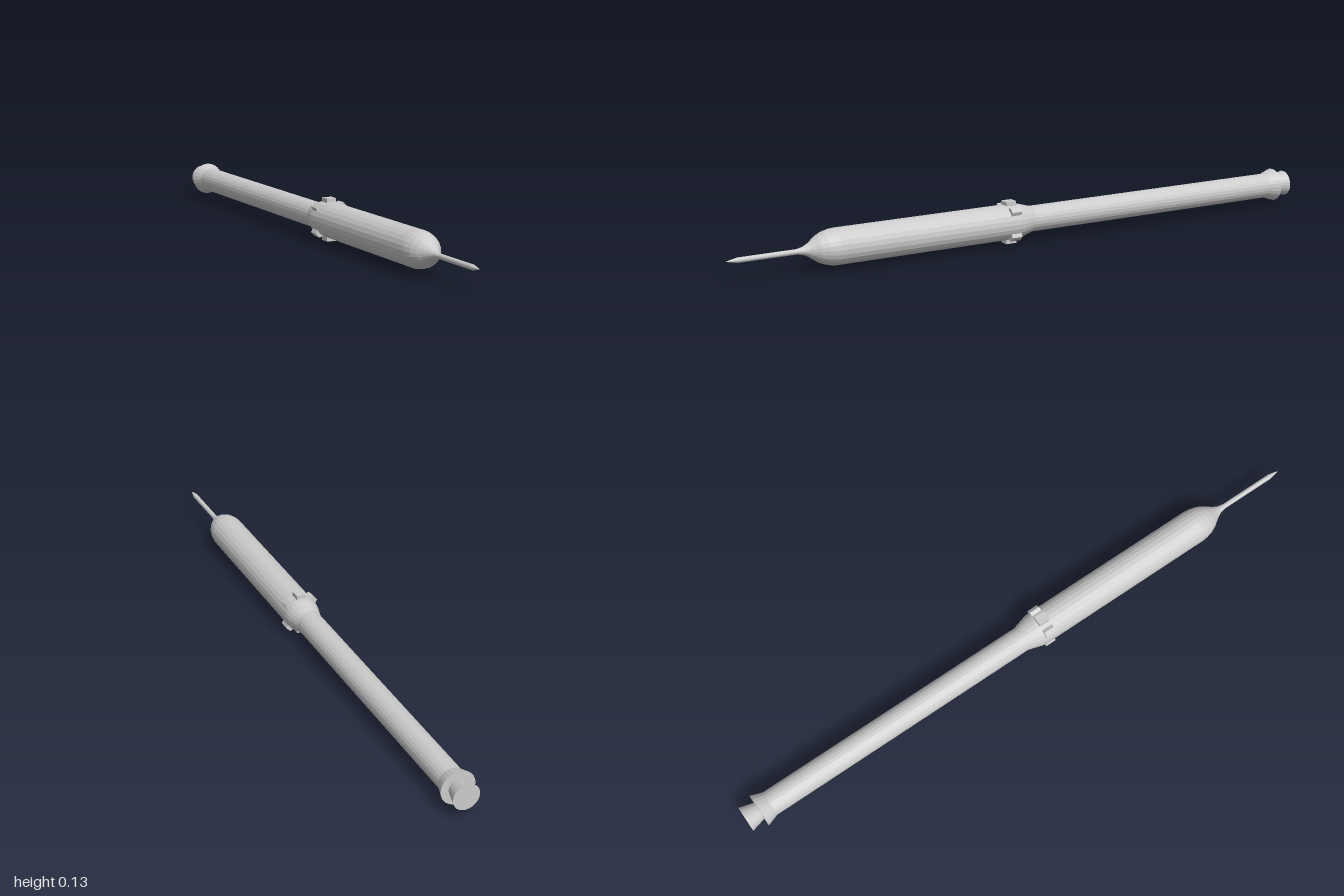
import * as THREE from 'three';

const AXIS_Y = 0.066;
const SIDES = 24;

export function createModel() {
  const model = new THREE.Group();
  const material = new THREE.MeshStandardMaterial({ color: 0xcccccc, flatShading: true });

  const add = (name, geometry) => {
    const mesh = new THREE.Mesh(geometry, material);
    mesh.name = name;
    mesh.position.y = AXIS_Y;
    model.add(mesh);
    return mesh;
  };

  // Turned part along z; profile is [radius, z] from back to front
  const turned = (name, profile) => {
    const points = profile.map(([r, z]) => new THREE.Vector2(r, z));
    return add(name, new THREE.LatheGeometry(points, SIDES).rotateX(Math.PI / 2));
  };

  // Rear nozzle with a flat closed end
  turned('nozzle', [[0, -1], [0.041, -1], [0.028, -0.95]]);

  // Slim rear tube with its flared skirt
  turned('rearTube', [[0, -0.953], [0.053, -0.953], [0.04, -0.915], [0.04, 0]]);

  // Thick forward body: tapered shoulder, barrel and rounded nose
  turned('forwardBody', [
    [0.04, 0], [0.053, 0.045], [0.055, 0.06], [0.055, 0.665], [0.053, 0.682], [0.048, 0.702],
    [0.039, 0.721], [0.029, 0.735], [0.019, 0.75], [0.012, 0.765], [0.008, 0.785],
  ]);

  // Nose spike
  turned('noseSpike', [[0.008, 0.785], [0.008, 0.965], [0.003, 0.99], [0, 1]]);

  // Six lugs round the body: square ones above and below, tapered ones on the diagonals
  const lug = (name, outerHalf, outerR, angle) => {
    const shape = new THREE.Shape([
      new THREE.Vector2(-0.0155, 0.048), new THREE.Vector2(0.0155, 0.048),
      new THREE.Vector2(outerHalf, outerR), new THREE.Vector2(-outerHalf, outerR),
    ]);
    const geometry = new THREE.ExtrudeGeometry(shape, { depth: 0.035, bevelEnabled: false });
    add(name, geometry.translate(0, 0, 0.059).rotateZ(angle));
  };
  for (const angle of [0, Math.PI]) {
    lug('squareLug', 0.0155, 0.066, angle);
    for (const side of [-1, 1]) lug('taperedLug', 0.009, 0.065, angle + side * Math.PI / 4);
  }

  return model;
}
